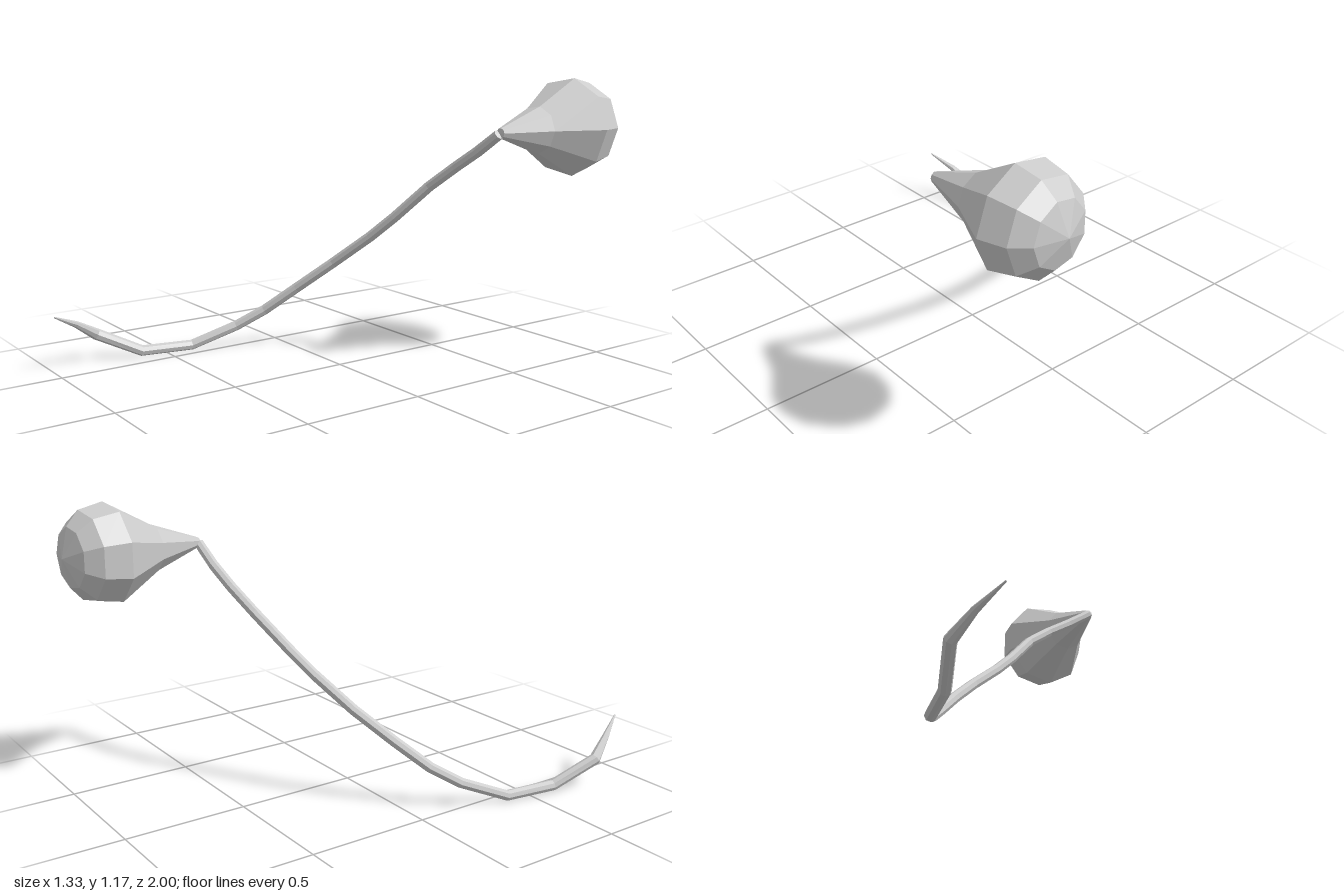
import * as THREE from 'three';

const material = new THREE.MeshStandardMaterial({
  color: 0xcccccc, flatShading: true, side: THREE.DoubleSide,
});

// Straight-segment curve with one tube ring at each given point.
class PolylineCurve extends THREE.Curve {
  constructor(points) {
    super();
    this.points = points;
  }
  getPointAt(u, target = new THREE.Vector3()) {
    return target.copy(this.points[Math.round(u * (this.points.length - 1))]);
  }
  getTangentAt(u, target = new THREE.Vector3()) {
    const last = this.points.length - 1;
    const i = Math.round(u * last);
    const before = this.points[Math.max(i - 1, 0)];
    const here = this.points[i];
    const after = this.points[Math.min(i + 1, last)];
    const incoming = here.clone().sub(before).normalize();
    return target.copy(after).sub(here).normalize().add(incoming).normalize();
  }
}

// Tube whose radius changes from ring to ring; each row is x, y, z, radius.
function taperedTube(rows, sides) {
  const points = rows.map(([x, y, z]) => new THREE.Vector3(x, y, z));
  const geometry = new THREE.TubeGeometry(new PolylineCurve(points), rows.length - 1, 1, sides);
  const position = geometry.attributes.position;
  const v = new THREE.Vector3();
  for (let i = 0; i < position.count; i++) {
    const ring = Math.floor(i / (sides + 1));
    v.fromBufferAttribute(position, i).sub(points[ring]).multiplyScalar(rows[ring][3]).add(points[ring]);
    position.setXYZ(i, v.x, v.y, v.z);
  }
  geometry.computeVertexNormals();
  return geometry;
}

export function createModel() {
  const group = new THREE.Group();
  group.name = 'bulbOnCurvedStem';

  // Curved stem, from the upturned pointed tip to the closed end at the bulb
  const stem = new THREE.Mesh(taperedTube([
    [-0.553, 0.242, 1.0, 0.003],
    [-0.605, 0.185, 0.89, 0.014],
    [-0.643, 0.12, 0.79, 0.024],
    [-0.588, 0.03, 0.61, 0.023],
    [-0.553, 0.027, 0.39, 0.022],
    [-0.48, 0.1, 0.21, 0.022],
    [-0.415, 0.168, 0.105, 0.022],
    [-0.32, 0.27, 0.0, 0.022],
    [-0.2, 0.388, -0.11, 0.022],
    [-0.06, 0.512, -0.2, 0.022],
    [0.03, 0.6, -0.255, 0.022],
    [0.155, 0.738, -0.338, 0.022],
    [0.27, 0.826, -0.376, 0.022],
    [0.38, 0.897, -0.393, 0.022],
    [0.49, 0.972, -0.4, 0.021],
    [0.492, 0.974, -0.4, 0],
  ], 8), material);
  stem.name = 'stem';
  group.add(stem);

  // Nine-sided teardrop bulb: narrow neck at the stem, rounded far end
  const profile = [
    [0, 0], [0.02, 0.002], [0.095, 0.215], [0.201, 0.405],
    [0.178, 0.51], [0.12, 0.566], [0, 0.602],
  ].map(([r, y]) => new THREE.Vector2(r, y));
  const bulb = new THREE.Mesh(new THREE.LatheGeometry(profile, 9, Math.PI / 2), material);
  const axis = new THREE.Vector3(-0.083, 0.008, -1).normalize();
  const up = new THREE.Vector3(0, 1, 0).addScaledVector(axis, -axis.y).normalize();
  const across = new THREE.Vector3().crossVectors(axis, up);
  bulb.quaternion.setFromRotationMatrix(new THREE.Matrix4().makeBasis(across, axis, up));
  bulb.position.set(0.494, 0.976, -0.4);
  bulb.name = 'bulb';
  group.add(bulb);

  return group;
}
